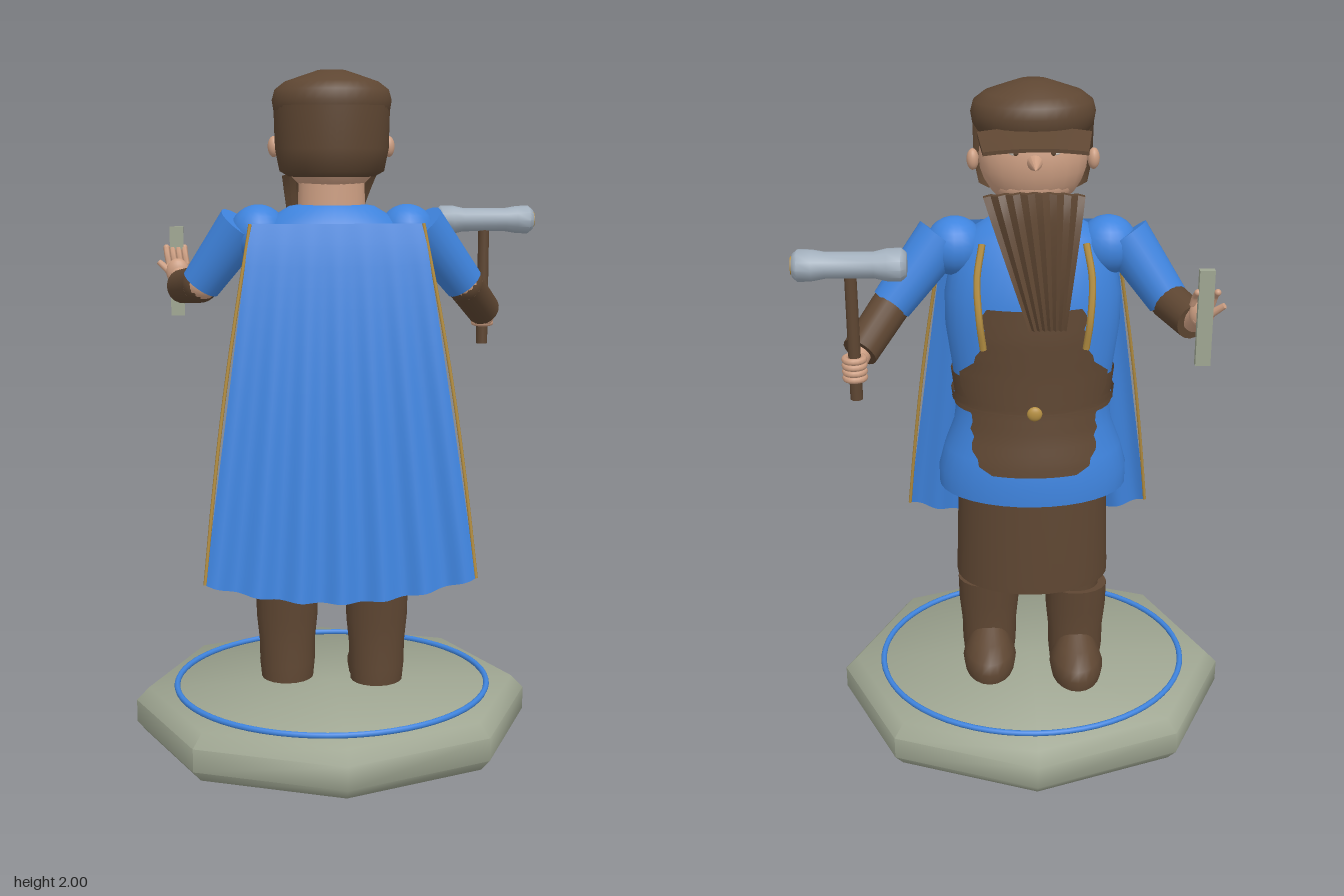
import * as THREE from 'three';
import { toCreasedNormals } from 'three/addons/utils/BufferGeometryUtils.js';

const material = (name, color) => {
  const m = new THREE.MeshStandardMaterial({ color, side: THREE.DoubleSide });
  m.name = name;
  return m;
};
const V = (x, y, z) => new THREE.Vector3(x, y, z);

// Elliptical rings [y, rx, rz, cz, halfAngle] skinned together; angle 0 points to -z.
function loft(rings, n, crease = 0.9) {
  const pos = [], index = [], row = n + 1;
  rings.forEach(([y, rx, rz, cz = 0, half = Math.PI], j) => {
    for (let i = 0; i <= n; i++) {
      const a = half * (2 * i / n - 1);
      pos.push(rx * Math.sin(a), y, cz - rz * Math.cos(a));
      if (j && i) {
        const k = j * row + i;
        index.push(k - row - 1, k - 1, k - row, k - row, k - 1, k);
      }
    }
  });
  const g = new THREE.BufferGeometry();
  g.setAttribute('position', new THREE.Float32BufferAttribute(pos, 3));
  g.setIndex(index);
  return toCreasedNormals(g, crease);
}

// Move every vertex of a geometry by a rule.
function warp(g, rule) {
  const p = g.attributes.position, v = V(0, 0, 0);
  for (let i = 0; i < p.count; i++) {
    v.fromBufferAttribute(p, i);
    rule(v);
    p.setXYZ(i, v.x, v.y, v.z);
  }
  g.computeVertexNormals();
  return g;
}

// Linear lookup in rows sorted by their first entry.
function sample(rows, y) {
  let i = 1;
  while (i < rows.length - 1 && rows[i][0] < y) i++;
  const a = rows[i - 1], b = rows[i], t = (y - a[0]) / (b[0] - a[0]);
  return a.map((v, k) => v + (b[k] - v) * t);
}

export function createModel() {
  const root = new THREE.Group();
  root.name = 'smithFigure';
  const blue = material('blue cloth', 0x3f84de), brown = material('brown leather', 0x5e4632),
    skin = material('skin', 0xcc9e82), stone = material('stone', 0x9fa692),
    steel = material('steel', 0xa3b0bd), gold = material('gold', 0xb58f42),
    white = material('eye white', 0xe6e0d6);

  const figure = new THREE.Group();
  figure.name = 'figure';
  figure.position.x = -0.025;
  root.add(figure);

  const add = (parent, name, g, mat, x = 0, y = 0, z = 0) => {
    const m = new THREE.Mesh(g, mat);
    m.name = name;
    m.position.set(x, y, z);
    parent.add(m);
    return m;
  };
  const ball = (parent, name, mat, x, y, z, rx, ry = rx, rz = rx) => {
    const m = add(parent, name, new THREE.SphereGeometry(1, 20, 14), mat, x, y, z);
    m.scale.set(rx, ry, rz);
    return m;
  };
  const limb = (parent, name, mat, p, q, r1, r2, n = 18) => {
    const d = q.clone().sub(p), c = p.clone().add(q).multiplyScalar(0.5);
    const m = add(parent, name, new THREE.CylinderGeometry(r2, r1, d.length(), n), mat, c.x, c.y, c.z);
    m.quaternion.setFromUnitVectors(V(0, 1, 0), d.normalize());
    return m;
  };
  const cord = (parent, name, mat, pts, r) =>
    add(parent, name, new THREE.TubeGeometry(new THREE.CatmullRomCurve3(pts), 20, r, 6), mat);

  // Stone base with painted ring
  add(figure, 'base', loft([[0, 0, 0], [0, 0.575, 0.505], [0.035, 0.605, 0.533], [0.105, 0.605, 0.533],
    [0.145, 0.567, 0.5], [0.15, 0, 0]], 8, 0.95), stone);
  const ring = add(figure, 'baseRing', new THREE.TorusGeometry(0.48, 0.009, 8, 64), blue, 0, 0.153, 0);
  ring.rotation.x = Math.PI / 2;
  ring.scale.y = 0.89;

  // Boots, one slightly ahead of the other
  for (const [side, z] of [[1, 0.015], [-1, -0.03]]) {
    const boot = new THREE.Group();
    boot.name = 'boot';
    boot.position.set(side * 0.137, 0, z);
    figure.add(boot);
    add(boot, 'bootShaft', loft([[0.16, 0, 0], [0.16, 0.08, 0.075], [0.21, 0.085, 0.075], [0.28, 0.086, 0.07],
      [0.36, 0.094, 0.075], [0.44, 0.096, 0.08], [0.44, 0.07, 0.065], [0.5, 0.07, 0.065]], 20), brown);
    add(boot, 'bootFoot', loft([[0.155, 0, 0, -0.07], [0.155, 0.078, 0.125, -0.07], [0.19, 0.084, 0.132, -0.07],
      [0.22, 0.075, 0.12, -0.068], [0.25, 0.06, 0.085, -0.045], [0.29, 0.04, 0.04, -0.02]], 20), brown);
  }

  // Skirt, tunic and belt
  add(figure, 'skirt', loft([[0.475, 0, 0], [0.475, 0.235, 0.168], [0.5, 0.235, 0.168], [0.82, 0.225, 0.158]], 32), brown);
  const tunic = [[0.79, 0.2, 0.14, 0], [0.79, 0.283, 0.193, 0], [0.85, 0.283, 0.193, -0.003], [0.92, 0.265, 0.183, -0.004],
    [1.0, 0.235, 0.163, -0.006], [1.08, 0.225, 0.15, -0.008], [1.18, 0.238, 0.153, -0.003], [1.3, 0.255, 0.16, 0.003],
    [1.4, 0.255, 0.153, 0.003], [1.5, 0.235, 0.13, 0.003], [1.57, 0.2, 0.1, 0.005], [1.615, 0.125, 0.08, 0.005],
    [1.625, 0.06, 0.05, 0.005]];
  add(figure, 'tunic', loft(tunic, 36), blue);
  const band = (name, low, high, off, half, steps = 6) => {
    const rows = [];
    for (let i = 0; i <= steps; i++) {
      const y = low + (high - low) * i / steps, [, rx, rz, cz] = sample(tunic, y);
      rows.push([y, rx + off, rz + off, cz, half(y, i)]);
    }
    return add(figure, name, loft(rows, 36), brown);
  };
  band('belt', 1.06, 1.165, 0.006, () => Math.PI);
  band('beltStrap', 1.075, 1.105, 0.014, () => Math.PI);

  // Apron with ragged edges, wider over the hips
  const apronEdge = [[0.89, 0.45], [0.92, 0.66], [0.98, 0.8], [1.05, 0.86], [1.12, 1.0], [1.17, 1.1], [1.2, 0.9],
    [1.24, 0.68], [1.3, 0.6], [1.4, 0.56]];
  band('apron', 0.89, 1.39, 0.011, (y, i) => sample(apronEdge, y)[1] + 0.035 * Math.sin(i * 2.3), 24);
  ball(figure, 'beltStud', gold, 0, 1.085, -0.178, 0.022, 0.022, 0.012);
  for (const s of [-1, 1]) {
    cord(figure, 'apronStrap', gold, [V(s * 0.145, 1.57, -0.105), V(s * 0.16, 1.48, -0.145),
      V(s * 0.155, 1.37, -0.175), V(s * 0.145, 1.28, -0.165)], 0.01);
  }

  // Neck, head and face
  add(figure, 'neck', new THREE.CylinderGeometry(0.095, 0.1, 0.14, 24), skin, 0, 1.65, 0).scale.z = 0.76;
  ball(figure, 'head', skin, 0, 1.795, -0.005, 0.152, 0.15, 0.125);
  ball(figure, 'jaw', skin, 0, 1.725, -0.03, 0.115, 0.065, 0.085);
  const nose = add(figure, 'nose', new THREE.ConeGeometry(0.03, 0.085, 12), skin, 0, 1.8, -0.145);
  nose.rotation.x = -Math.PI / 2 - 0.1;
  for (const s of [-1, 1]) {
    ball(figure, 'ear', skin, s * 0.168, 1.785, -0.005, 0.017, 0.03, 0.02);
    ball(figure, 'eye', white, s * 0.05, 1.828, -0.112, 0.02, 0.009, 0.009);
    ball(figure, 'pupil', brown, s * 0.05, 1.828, -0.119, 0.008, 0.008, 0.004);
    ball(figure, 'eyebrow', brown, s * 0.052, 1.85, -0.108, 0.03, 0.007, 0.012);
  }

  // Hair at the back of the head
  const hair = add(figure, 'hair', loft([[1.7, 0, 0, 0], [1.7, 0.125, 0.115, -0.012], [1.715, 0.152, 0.135, -0.012],
    [1.78, 0.165, 0.143, -0.012], [1.9, 0.168, 0.143, -0.012]].map((r) => [...r, 1.6]), 28), brown);
  hair.rotation.y = Math.PI;

  // Cap and visor
  add(figure, 'cap', loft([[1.865, 0, 0, 0.013], [1.865, 0.155, 0.125, 0.013], [1.885, 0.168, 0.135, 0.013], [1.915, 0.173, 0.139, 0.013],
    [1.945, 0.165, 0.132, 0.013], [1.968, 0.135, 0.108, 0.013], [1.99, 0.07, 0.06, 0.013], [2, 0.04, 0.035, 0.013],
    [2, 0, 0, 0.013]], 36), brown);
  add(figure, 'visor', toCreasedNormals(warp(new THREE.BoxGeometry(2, 0.01, 1, 14, 1, 4), (v) => {
    const t = 0.5 - v.z, u = v.x;
    v.set(u * (0.155 - 0.015 * t), 1.888 + v.y - 0.03 * t - 0.012 * u * u, -0.095 - t * (0.12 - 0.012 * u * u));
  }), 0.7), brown);

  // Fluted, fan-shaped beard
  add(figure, 'beard', toCreasedNormals(warp(new THREE.BoxGeometry(2, 1, 1, 14, 10, 1), (v) => {
    const t = 0.5 - v.y, u = v.x, flute = Math.round((u + 1) * 7) % 2 ? 0.006 : -0.006;
    v.set(u * (0.14 - 0.088 * t) - 0.035 * t, 1.72 - 0.375 * t - 0.02 * u * u * (1 - t),
      -0.128 - 0.055 * Math.sqrt(t) + v.z * 0.02 + flute + 0.045 * u * u * (1 - t));
  }), 0.4), brown);

  // Cape with rippled lower edge and corded sides
  const capePoint = (u, t) => V(0.005 + u * (0.247 + 0.143 * t), 1.57 - t * (1.01 + 0.06 * (1 - u * u)),
    0.14 + 0.165 * Math.pow(t, 0.8) - 0.02 * u * u * t + 0.012 * t * Math.cos(u * 6.5 * Math.PI));
  add(figure, 'cape', warp(new THREE.PlaneGeometry(2, 1, 72, 18), (v) => v.copy(capePoint(v.x, 0.5 - v.y))), blue);
  for (const s of [-1, 1]) {
    cord(figure, 'capeCord', gold, [0, 0.25, 0.5, 0.75, 1].map((t) =>
      capePoint(s, t).add(V(s * 0.012 * Math.sin(t * Math.PI), 0, 0))), 0.005);
  }

  // Arms: sleeve, bare elbow and leather cuff
  function arm(name, shoulder, elbow, wrist) {
    const g = new THREE.Group();
    g.name = name;
    root.add(g);
    ball(g, 'shoulder', blue, shoulder.x * 0.84, shoulder.y - 0.025, shoulder.z, 0.085, 0.085, 0.082);
    limb(g, 'sleeve', blue, shoulder, elbow, 0.075, 0.06);
    ball(g, 'elbow', skin, elbow.x, elbow.y, elbow.z, 0.052);
    const start = elbow.clone().lerp(wrist, 0.05);
    limb(g, 'cuff', brown, start, wrist, 0.056, 0.052);
    ball(g, 'cuffEnd', brown, start.x, start.y, start.z, 0.056);
    return g;
  }
  const hammerArm = arm('hammerArm', V(0.235, 1.56, 0), V(0.38, 1.38, -0.055), V(0.465, 1.285, -0.185));
  const openArm = arm('openArm', V(-0.285, 1.56, 0), V(-0.41, 1.385, -0.05), V(-0.467, 1.365, -0.185));

  // Fist around the hammer handle
  limb(hammerArm, 'wrist', skin, V(0.462, 1.288, -0.18), V(0.475, 1.265, -0.225), 0.034, 0.03);
  ball(hammerArm, 'palm', skin, 0.48, 1.263, -0.228, 0.03, 0.036, 0.025);
  for (let i = 0; i < 4; i++) {
    const f = add(hammerArm, 'finger', new THREE.TorusGeometry(0.026, 0.01, 8, 16), skin, 0.475, 1.236 + i * 0.018, -0.247);
    f.rotation.x = Math.PI / 2;
  }

  // Hammer
  const hammer = new THREE.Group();
  hammer.name = 'hammer';
  hammer.position.set(0.474, 1.56, -0.245);
  root.add(hammer);
  add(hammer, 'handle', new THREE.CylinderGeometry(0.017, 0.018, 0.36, 10), brown, 0, -0.21, 0);
  const head = add(hammer, 'hammerHead', loft([[-0.152, 0, 0], [-0.152, 0.032, 0.038], [-0.138, 0.045, 0.053], [-0.1, 0.044, 0.052],
    [-0.065, 0.036, 0.04], [0.065, 0.036, 0.04], [0.1, 0.042, 0.05], [0.138, 0.044, 0.052], [0.152, 0.032, 0.04],
    [0.152, 0, 0]], 12), steel);
  head.rotation.z = -Math.PI / 2;
  const disc = add(hammer, 'hammerDisc', new THREE.CylinderGeometry(0.025, 0.025, 0.008, 16), gold, 0.153, 0, 0);
  disc.rotation.z = Math.PI / 2;

  // Open hand holding an upright stone tablet
  limb(openArm, 'wrist', skin, V(-0.466, 1.365, -0.18), V(-0.478, 1.4, -0.225), 0.032, 0.028);
  ball(openArm, 'palm', skin, -0.482, 1.405, -0.226, 0.036, 0.042, 0.022);
  for (let i = 0; i < 4; i++) {
    const x = -0.509 + i * 0.018;
    cord(openArm, 'finger', skin, [V(x, 1.43, -0.228), V(x * 1.01, 1.46, -0.24), V(x * 1.015, 1.478, -0.262)], 0.0095);
    ball(openArm, 'fingertip', skin, x * 1.015, 1.478, -0.262, 0.0095);
  }
  limb(openArm, 'thumb', skin, V(-0.5, 1.4, -0.228), V(-0.54, 1.435, -0.248), 0.013, 0.009, 10);
  add(root, 'tablet', new THREE.BoxGeometry(0.042, 0.275, 0.022), stone, -0.485, 1.405, -0.262);

  return root;
}
